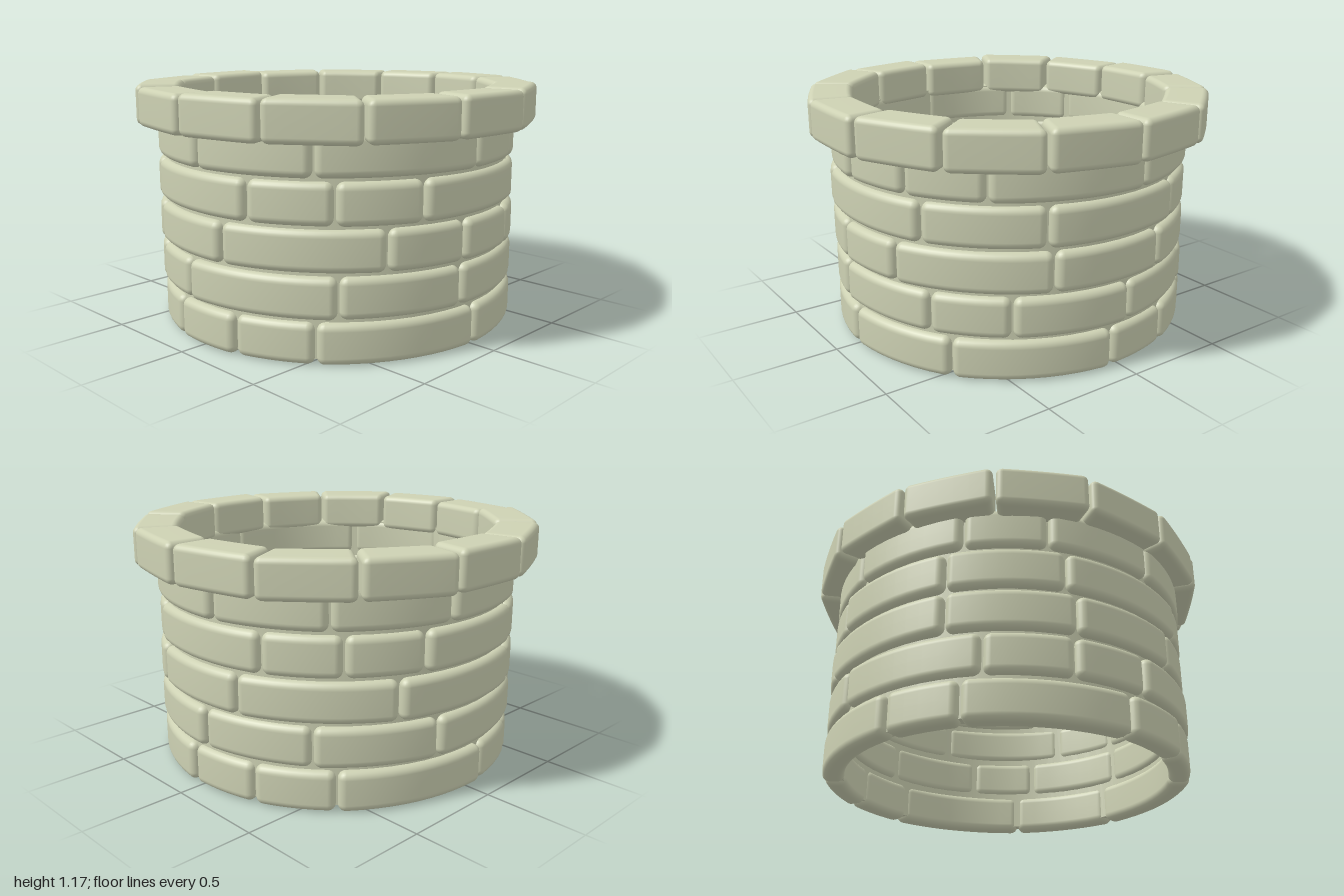
import * as THREE from 'three';
import { mergeVertices, toCreasedNormals } from 'three/addons/utils/BufferGeometryUtils.js';

const CORNER = 3; // segments across each rounded edge

// small repeatable jitter in -1..1
let seed = 7;
const jitter = () => {
  seed = (seed * 16807) % 2147483647;
  return (seed / 2147483647) * 2 - 1;
};

// Place a grid line: dense lines within the rounded edge, even ones between
function spread(p, n, half, r) {
  const i = Math.round((p + 0.5) * n);
  const edge = (k) => half - r + r * Math.tan((1 - k / CORNER) * Math.PI / 4);
  if (i < CORNER) return -edge(i);
  if (i > n - CORNER) return edge(n - i);
  return (half - r) * (2 * (i - CORNER) / (n - 2 * CORNER) - 1);
}

// Rounded block bent around the y axis. angle 0 faces +z, growing towards +x.
function stoneGeometry({ from, to, inner, outer, bottom, top, round, gap, flat, tilt, skew }) {
  const mid = (inner + outer) / 2;
  const half = [((to - from) * mid - gap) / 2, (top - bottom) / 2, (outer - inner) / 2];
  const centre = (from + to) / 2;
  const counts = [2 * CORNER + Math.max(4, Math.round((to - from) / 0.09)), 2 * CORNER + 2, 2 * CORNER + 1];
  let geo = new THREE.BoxGeometry(1, 1, 1, ...counts);
  geo.deleteAttribute('uv');
  geo.deleteAttribute('normal');
  const pos = geo.attributes.position;
  const v = new THREE.Vector3(), core = new THREE.Vector3();
  for (let i = 0; i < pos.count; i++) {
    v.fromBufferAttribute(pos, i);
    v.set(...['x', 'y', 'z'].map((k, j) => spread(v[k], counts[j], half[j], round)));
    core.set(...['x', 'y', 'z'].map((k, j) => THREE.MathUtils.clamp(v[k], round - half[j], half[j] - round)));
    v.sub(core);
    if (v.lengthSq() > 1e-12) v.setLength(round);
    v.add(core);
    // bend, partly straightened towards a flat chord
    const a = v.x / mid;
    const r = (mid + v.z + skew * v.x) * (1 + flat * (1 / Math.cos(a) - 1));
    const y = (bottom + top) / 2 + v.y + tilt * v.x;
    pos.setXYZ(i, r * Math.sin(centre + a), y, r * Math.cos(centre + a));
  }
  geo = mergeVertices(geo, 1e-5);
  geo.computeVertexNormals();
  return geo;
}

export function createModel() {
  const model = new THREE.Group();
  model.name = 'stoneWell';
  const stone = new THREE.MeshStandardMaterial({ color: 0xcdd1b3 });

  // Joint angles, in degrees, of each wall course from the bottom up
  const courses = [
    [-61, -11, 13.5, 38.5, 90, 128, 177, 201, 226, 276],
    [-55, -29, -5, 45, 84, 121.5, 146, 183, 219, 257],
    [-66, -28, 9, 59, 85, 110, 158, 196, 244],
    [-66, -31, 18, 44, 70, 119, 156, 204, 228, 252],
    [-61, -36, 0, 38, 90, 114, 139, 188, 224, 261],
  ];
  courses.forEach((joints, row) => {
    const course = new THREE.Group();
    course.name = `wallCourse${row + 1}`;
    const bottom = 0.008 + row * 0.206;
    joints.forEach((joint, i) => {
      const next = i + 1 < joints.length ? joints[i + 1] : joints[0] + 360;
      const shift = jitter() * 0.006;
      const mesh = new THREE.Mesh(stoneGeometry({
        from: THREE.MathUtils.degToRad(joint), to: THREE.MathUtils.degToRad(next),
        inner: 0.782 + shift, outer: 0.887 + shift,
        bottom, top: bottom + 0.193,
        round: 0.036, gap: 0.008, flat: 0.1, tilt: 0, skew: 0,
      }), stone);
      mesh.name = 'wallStone';
      course.add(mesh);
    });
    model.add(course);
  });

  // Overhanging rim of equal blocks, each set slightly unevenly
  const rim = new THREE.Group();
  rim.name = 'rim';
  const count = 14, step = (Math.PI * 2) / count;
  for (let i = 0; i < count; i++) {
    const shift = jitter() * 0.004;
    const mesh = new THREE.Mesh(stoneGeometry({
      from: i * step, to: (i + 1) * step,
      inner: 0.768 + shift, outer: 0.978 + shift,
      bottom: 0.985, top: 1.175 + jitter() * 0.005,
      round: 0.03, gap: 0.012, flat: 0.75, tilt: jitter() * 0.015, skew: jitter() * 0.03,
    }), stone);
    mesh.name = 'rimStone';
    rim.add(mesh);
  }
  model.add(rim);

  // Mortar ring filling the joints
  const profile = [[0.798, 0.03], [0.856, 0.03], [0.856, 1.02], [0.798, 1.02], [0.798, 0.03]];
  const mortar = new THREE.Mesh(
    toCreasedNormals(new THREE.LatheGeometry(profile.map((p) => new THREE.Vector2(...p)), 64), 0.6), stone);
  mortar.name = 'mortar';
  model.add(mortar);

  return model;
}
